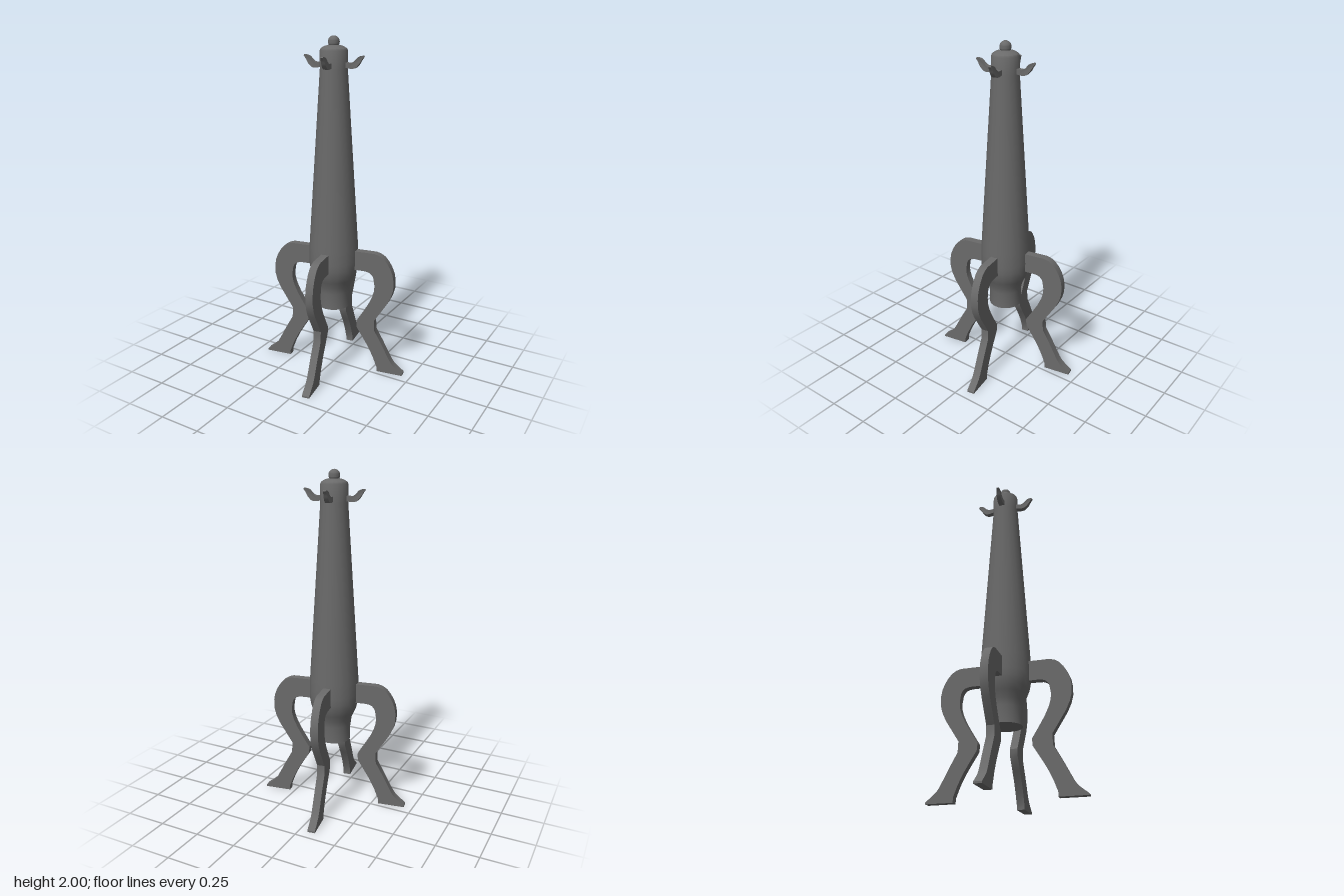
import * as THREE from 'three';
import { toCreasedNormals } from 'three/addons/utils/BufferGeometryUtils.js';

const material = new THREE.MeshStandardMaterial({ color: 0x6a6a6a, side: THREE.DoubleSide });
const TWIST = 0.165; // legs and hooks are turned slightly off the axes

function mesh(name, geometry, crease) {
  const m = new THREE.Mesh(toCreasedNormals(geometry, crease), material);
  m.name = name;
  return m;
}

const points = (list) => list.map(([x, y]) => new THREE.Vector2(x, y));

// Side outline given thickness, centred on its own plane
function slab(outline, thickness) {
  const geometry = new THREE.ExtrudeGeometry(outline, { depth: thickness, bevelEnabled: false, curveSegments: 3 });
  return geometry.translate(0, 0, -thickness / 2);
}

// S-shaped leg with a flared foot
function legGeometry() {
  return slab(new THREE.Shape(points([
    // outer edge, downward
    [0.1, 0.767], [0.265, 0.767], [0.295, 0.758], [0.32, 0.742], [0.343, 0.715], [0.362, 0.683],
    [0.376, 0.648], [0.383, 0.61], [0.383, 0.555], [0.371, 0.51], [0.349, 0.462], [0.268, 0.335],
    [0.271, 0.272], [0.317, 0.19], [0.35, 0.126], [0.372, 0.085], [0.39, 0.06], [0.416, 0.037], [0.451, 0.01],
    // foot and inner edge, upward
    [0.451, 0], [0.29, 0], [0.29, 0.027], [0.266, 0.09], [0.235, 0.153], [0.205, 0.202], [0.159, 0.275],
    [0.155, 0.317], [0.198, 0.386], [0.23, 0.44], [0.254, 0.492], [0.265, 0.53], [0.267, 0.565],
    [0.26, 0.61], [0.252, 0.628], [0.238, 0.641], [0.218, 0.648], [0.196, 0.65], [0.1, 0.65],
  ])), 0.045);
}

// Upturned hook whose width tapers toward the tip
function hookGeometry() {
  const s = new THREE.Shape();
  s.moveTo(0.05, 1.862);
  s.lineTo(0.08, 1.857);
  s.splineThru(points([[0.105, 1.856], [0.125, 1.866], [0.142, 1.885], [0.158, 1.893], [0.174, 1.896]]));
  s.lineTo(0.179, 1.89);
  s.splineThru(points([[0.165, 1.872], [0.15, 1.848], [0.128, 1.828], [0.105, 1.824], [0.08, 1.828]]));
  s.lineTo(0.05, 1.828);
  const geometry = slab(s, 0.034);
  const p = geometry.attributes.position;
  for (let i = 0; i < p.count; i++) {
    const t = THREE.MathUtils.clamp((p.getX(i) - 0.08) / 0.1, 0, 1);
    p.setZ(i, p.getZ(i) * (1 - 0.35 * t - 0.3 * t ** 6));
  }
  return geometry;
}

export function createModel() {
  const model = new THREE.Group();

  // Tapered column with a narrow neck at the bottom and a low domed top
  model.add(mesh('body', new THREE.LatheGeometry(points([
    [0, 0.4], [0.098, 0.4], [0.098, 0.5], [0.106, 0.54], [0.124, 0.58], [0.138, 0.615], [0.146, 0.66],
    [0.147, 0.7], [0.145, 0.79], [0.078, 1.82], [0.078, 1.92], [0.073, 1.931], [0.055, 1.943],
    [0.03, 1.95], [0, 1.952],
  ]), 18), 0.6));

  // Ball on top
  const ball = mesh('finial', new THREE.SphereGeometry(0.033, 16, 12), 0.6);
  ball.position.y = 1.967;
  model.add(ball);

  // Four legs and four hooks around the column
  const leg = mesh('leg', legGeometry(), 0.5);
  const hook = mesh('hook', hookGeometry(), 1);
  for (let i = 0; i < 4; i++) {
    for (const part of [leg, hook]) {
      const copy = part.clone();
      copy.rotation.y = TWIST + i * Math.PI / 2;
      model.add(copy);
    }
  }
  return model;
}
